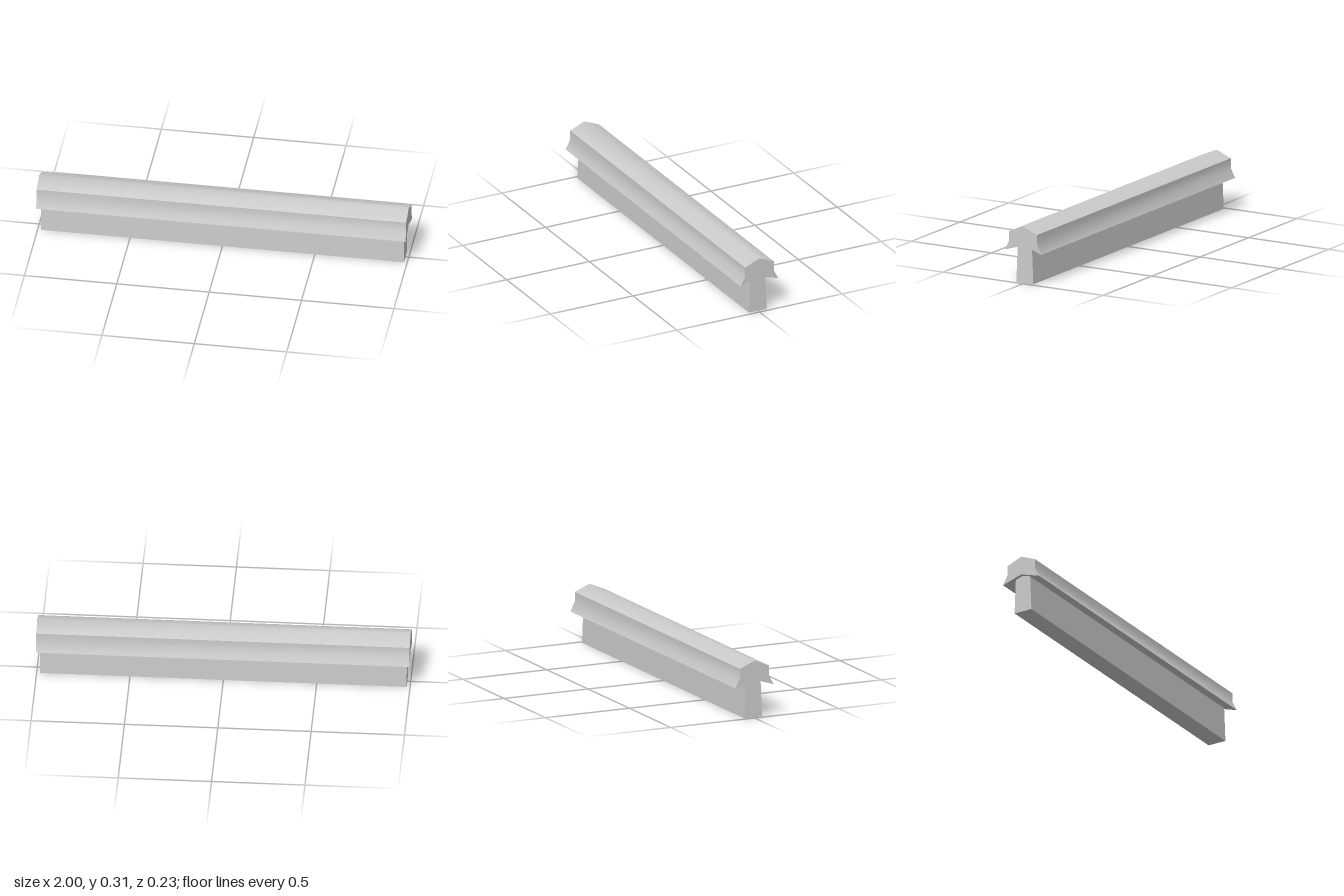
import * as THREE from 'three';
import { toCreasedNormals } from 'three/addons/utils/BufferGeometryUtils.js';

// Extrude a mirrored cross-section ([z, y] points of one half, top to bottom) along x
function beam(name, half, length, material) {
  const mirrored = half.filter(([z]) => z > 0).reverse().map(([z, y]) => [-z, y]);
  const outline = [...half, ...mirrored].map(([z, y]) => new THREE.Vector2(z, y));
  const geometry = new THREE.ExtrudeGeometry(new THREE.Shape(outline), {
    depth: length, bevelEnabled: false,
  });
  geometry.translate(0, 0, -length / 2).rotateY(Math.PI / 2);
  const mesh = new THREE.Mesh(toCreasedNormals(geometry, THREE.MathUtils.degToRad(50)), material);
  mesh.name = name;
  return mesh;
}

export function createModel() {
  const group = new THREE.Group();
  group.name = 'cappedWall';
  const grey = new THREE.MeshStandardMaterial({ color: 0xcccccc });

  // Tapered wall with a low gabled top that meets the underside of the coping
  group.add(beam('wall', [[0, 0.209], [0.045, 0.195], [0.053, 0]], 1.964, grey));

  // Ridged coping with flared drip edges and a hollowed underside
  group.add(beam('coping', [
    [0, 0.315], [0.087, 0.279], [0.087, 0.225], [0.114, 0.174], [0, 0.21],
  ], 2, grey));

  return group;
}
